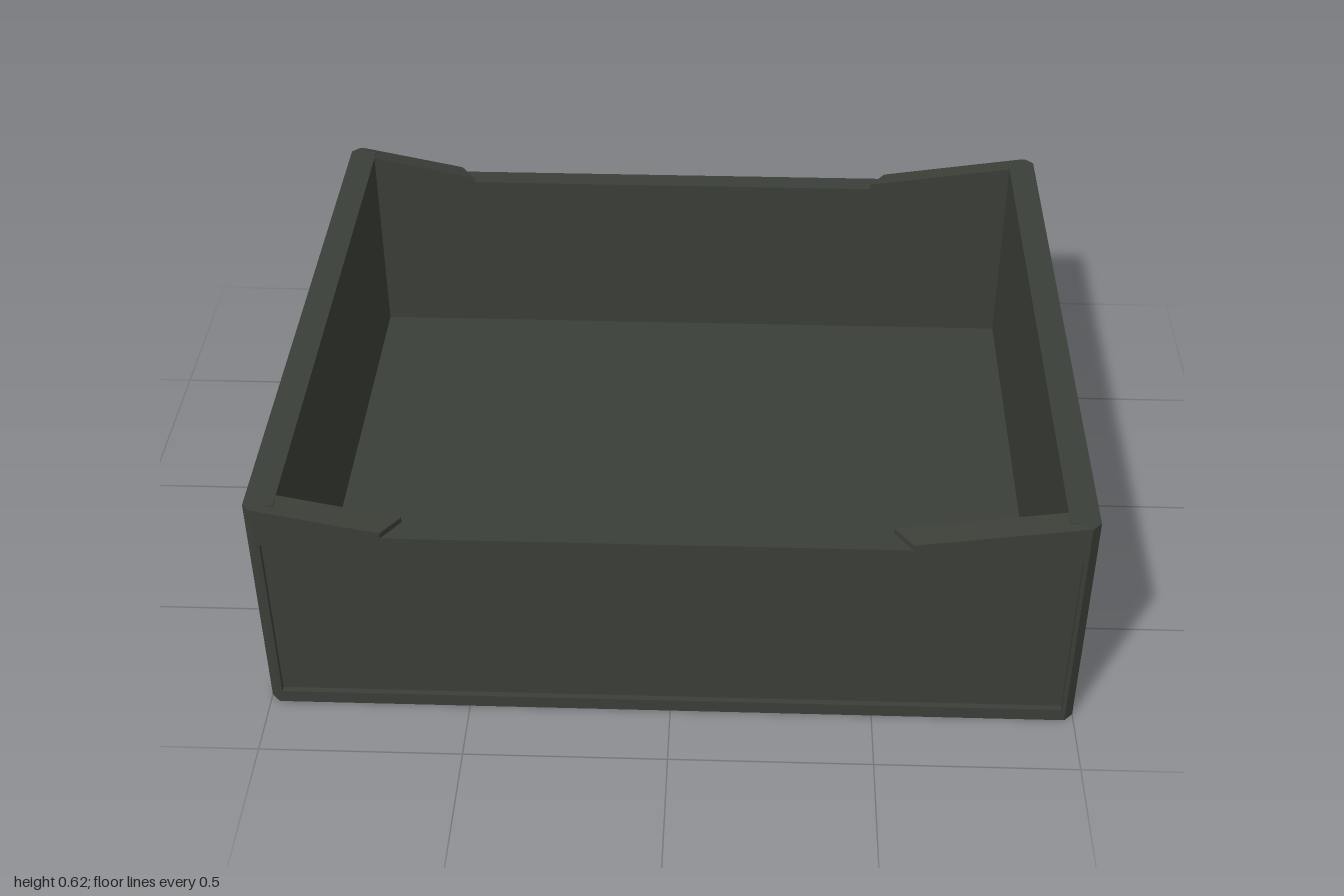
import * as THREE from 'three';

const HX = 1, HZ = 0.835;        // half width and depth
const TOP = 0.62, DIP = 0.545;   // rim height at the corners and along the low edges
const CHAMFER = 0.022, RECESS = 0.015;

const material = new THREE.MeshStandardMaterial({ color: 0x3b3f38, flatShading: true });

function part(name, geometry) {
  const mesh = new THREE.Mesh(geometry, material);
  mesh.name = name;
  return mesh;
}

// One slab of a wall, reaching from z = -from (outer) to z = -to (inner).
// The notch in the rim slides outward-in, so its end steps run diagonally.
function slab(name, outline, hole, from, to, thickness) {
  const shape = new THREE.Shape(outline.map(p => new THREE.Vector2(...p)));
  if (hole) shape.holes.push(new THREE.Path(hole.map(p => new THREE.Vector2(...p))));
  const geometry = new THREE.ExtrudeGeometry(shape, { depth: to - from, bevelEnabled: false });
  geometry.translate(0, 0, -to);
  const pos = geometry.attributes.position;
  for (let i = 0; i < pos.count; i++) {
    const x = pos.getX(i);
    if (pos.getY(i) > 0.53 && Math.abs(x) < 0.975 && outline.length > 4) {
      pos.setX(i, x + Math.sign(x) * 0.043 * pos.getZ(i) / thickness);
    }
  }
  geometry.computeVertexNormals();
  return part(name, geometry);
}

// Wall with a sunken rectangular panel on its outer face
function wall(name, outline, panelHalf, thickness) {
  const group = new THREE.Group();
  group.name = name;
  const w = panelHalf, hole = [[-w, 0.035], [-w, 0.515], [w, 0.515], [w, 0.035]];
  group.add(
    slab('panelFrame', outline, hole, 0, RECESS, thickness),
    slab('panel', outline, null, RECESS, thickness, thickness)
  );
  return group;
}

export function createModel() {
  const model = new THREE.Group();
  model.name = 'openTray';

  // Front and back walls with the lowered, slightly off-centre rim
  const ex = HX - CHAMFER;
  const notched = [
    [-ex, 0], [ex, 0], [ex, TOP], [0.97, TOP], [0.57, 0.56], [0.57, DIP],
    [-0.68, DIP], [-0.68, 0.56], [-0.97, TOP], [-ex, TOP]
  ];
  const front = wall('frontWall', notched, 0.968, 0.06);
  front.position.z = HZ;
  const back = wall('backWall', notched.map(([x, y]) => [-x, y]), 0.968, 0.06);
  back.position.z = -HZ;
  back.rotation.y = Math.PI;
  model.add(front, back);

  // Plain side walls
  const ez = HZ - CHAMFER;
  const plain = [[-ez, 0], [ez, 0], [ez, TOP], [-ez, TOP]];
  for (const s of [1, -1]) {
    const side = wall(s > 0 ? 'leftWall' : 'rightWall', plain, 0.805, 0.072);
    side.position.x = s * HX;
    side.rotation.y = s * Math.PI / 2;
    model.add(side);
  }

  // Chamfered corner fillers
  for (const sx of [1, -1]) for (const sz of [1, -1]) {
    const shape = new THREE.Shape([
      new THREE.Vector2(sx * ex, -sz * HZ),
      new THREE.Vector2(sx * HX, -sz * ez),
      new THREE.Vector2(sx * ex, -sz * ez)
    ]);
    const geometry = new THREE.ExtrudeGeometry(shape, { depth: TOP, bevelEnabled: false });
    geometry.rotateX(-Math.PI / 2);
    model.add(part('cornerChamfer', geometry));
  }

  // Floor
  const floor = part('floor', new THREE.BoxGeometry(1.92, 0.055, 1.6));
  floor.position.y = 0.0275;
  model.add(floor);

  return model;
}
